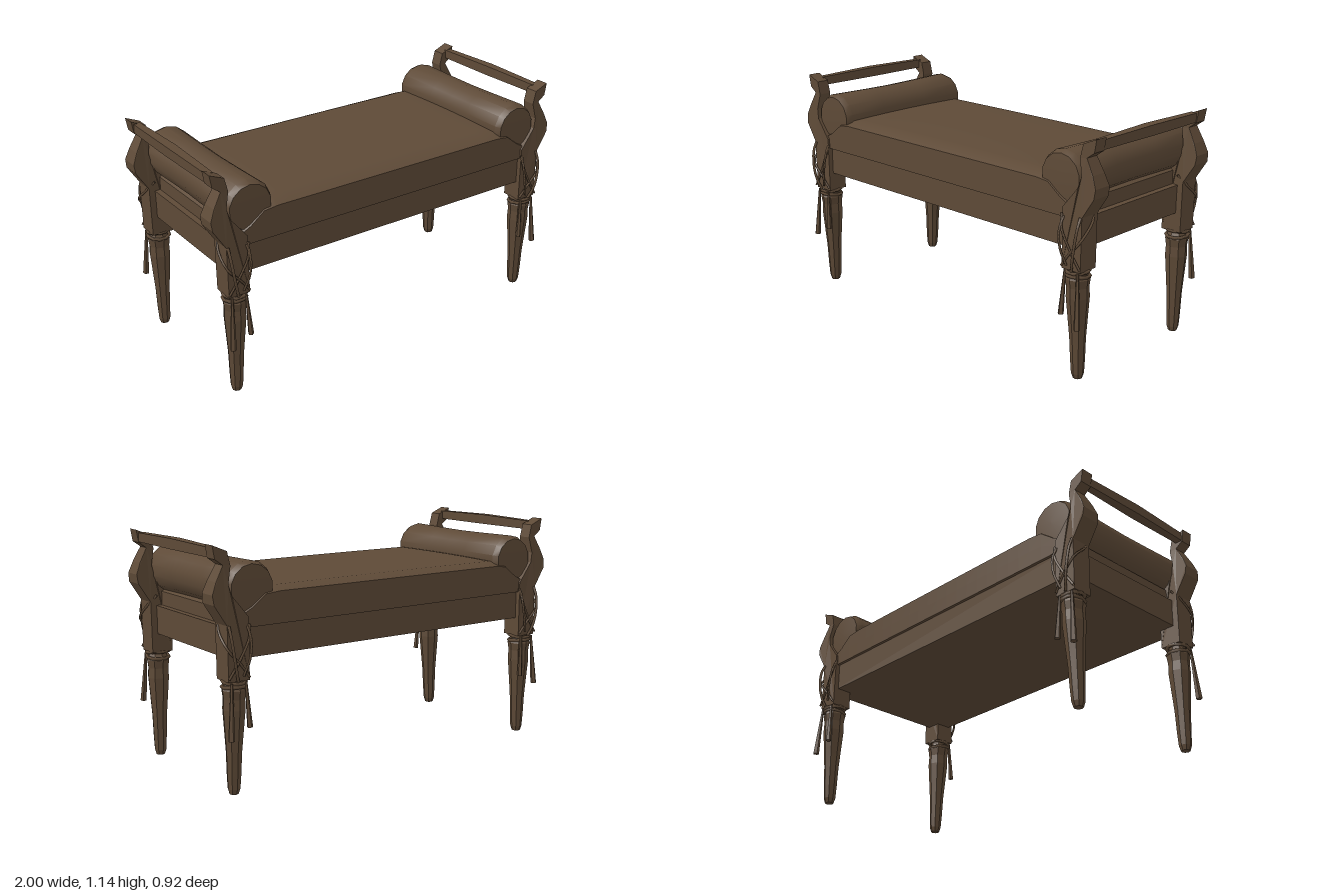
import * as THREE from 'three';
import { toCreasedNormals } from 'three/addons/utils/BufferGeometryUtils.js';

const wood = new THREE.MeshStandardMaterial({ color: 0x5e4a37 });
wood.name = 'dark brown';
wood.side = THREE.DoubleSide;

function add(parent, name, geometry, x = 0, y = 0, z = 0) {
  const mesh = new THREE.Mesh(geometry, wood);
  mesh.name = name;
  mesh.position.set(x, y, z);
  parent.add(mesh);
  return mesh;
}

// Move every vertex by a rule
function reshape(geometry, rule) {
  const p = geometry.attributes.position, v = new THREE.Vector3();
  for (let i = 0; i < p.count; i++) {
    rule(v.fromBufferAttribute(p, i));
    p.setXYZ(i, v.x, v.y, v.z);
  }
  return geometry;
}

const flat = (geometry) => toCreasedNormals(geometry, 0.05);
const points2 = (list) => list.map(([x, y]) => new THREE.Vector2(x, y));

// Crowned seat cushion that dips under the bolsters
function cushionGeometry() {
  const g = new THREE.BoxGeometry(1.74, 0.15, 0.83, 24, 2, 16);
  reshape(g, (v) => {
    const t = (v.y + 0.075) / 0.15;
    const w = Math.abs(v.z) / 0.415, u = Math.abs(v.x) / 0.87;
    const crown = w > 0.99 ? 0.918 : 0.938 + 0.014 * (1 - w * w) * (1 - u * u);
    const dip = 0.1 * THREE.MathUtils.smoothstep(u, 0.8, 1);
    v.y = 0.77 + t * (crown - dip - 0.77);
  });
  return toCreasedNormals(g, 0.6);
}

// Bolster with bevelled ends and a slight waist
function bolsterGeometry() {
  const g = new THREE.LatheGeometry(points2([
    [0, -0.412], [0.108, -0.405], [0.122, -0.375], [0.117, -0.15], [0.115, 0],
    [0.117, 0.15], [0.122, 0.375], [0.108, 0.405], [0, 0.412],
  ]), 14);
  g.rotateX(Math.PI / 2);
  return toCreasedNormals(g, 0.55);
}

// Square leg block sweeping up into the curved arm, thinner toward the top
function armGeometry() {
  const shape = new THREE.Shape(points2([
    [0.822, 0.535], [0.93, 0.535], [0.932, 0.79], [0.993, 0.885], [0.998, 0.93],
    [0.975, 0.985], [0.936, 1.055], [0.975, 1.083], [0.986, 1.145], [0.914, 1.115],
    [0.898, 1.05], [0.915, 0.97], [0.902, 0.92], [0.822, 0.82],
  ]));
  const g = new THREE.ExtrudeGeometry(shape, { depth: 2, bevelEnabled: false });
  reshape(g, (v) => {
    const half = 0.053 - 0.02 * THREE.MathUtils.smoothstep(v.y, 0.85, 1.07);
    v.z = 0.372 + (v.z - 1) * half;
  });
  return flat(g);
}

// Faceted tapering leg that leans slightly toward its foot
function legGeometry() {
  const g = new THREE.LatheGeometry(points2([
    [0, 0], [0.022, 0], [0.03, 0.025], [0.034, 0.09], [0.038, 0.2],
    [0.046, 0.3], [0.054, 0.4], [0.052, 0.45], [0.058, 0.49], [0.044, 0.52], [0.044, 0.55],
  ]), 8);
  reshape(g, (v) => {
    v.x += 0.882 - 0.012 * v.y;
    v.z += 0.368 + 0.014 * v.y;
  });
  return flat(g);
}

// Thin cord through a few points
function cordGeometry(list, radius = 0.006) {
  const curve = new THREE.CatmullRomCurve3(list.map((p) => new THREE.Vector3(...p)));
  return new THREE.TubeGeometry(curve, 14, radius, 5);
}

// Hanging end of a cord, flaring into a tassel
function tasselGeometry(height, width) {
  const g = new THREE.CylinderGeometry(0.006, width, height, 5);
  g.translate(0, -height / 2, 0);
  return flat(g);
}

function buildCorner() {
  const corner = new THREE.Group();
  add(corner, 'arm', armGeometry());
  add(corner, 'leg', legGeometry());

  // Cord wraps at the top of the leg
  [0.505, 0.53].forEach((y, i) => {
    const ring = new THREE.TorusGeometry(0.055, 0.009, 5, 10);
    ring.rotateX(Math.PI / 2 + (i ? 0.1 : -0.1));
    add(corner, 'cordWrap', ring, 0.876, y, 0.376);
  });

  // Cords crossing the block and bowing outward
  add(corner, 'crossingCord', cordGeometry([
    [0.90, 0.82, 0.318], [0.936, 0.77, 0.35], [0.938, 0.69, 0.432], [0.87, 0.61, 0.437], [0.825, 0.55, 0.43],
  ]));
  add(corner, 'crossingCord', cordGeometry([
    [0.82, 0.79, 0.425], [0.83, 0.73, 0.44], [0.88, 0.63, 0.437], [0.932, 0.55, 0.432],
  ]));
  add(corner, 'hangingLoop', cordGeometry([
    [0.925, 0.79, 0.425], [0.925, 0.74, 0.446], [0.915, 0.65, 0.455], [0.9, 0.58, 0.447], [0.885, 0.535, 0.432],
  ], 0.007));
  add(corner, 'hangingLoop', cordGeometry([
    [0.83, 0.78, 0.425], [0.825, 0.72, 0.448], [0.835, 0.64, 0.453], [0.86, 0.56, 0.438],
  ], 0.006));

  // Tassels
  const outer = add(corner, 'tassel', tasselGeometry(0.26, 0.016), 0.915, 0.53, 0.425);
  outer.rotation.set(-0.06, 0, 0.06);
  const inner = add(corner, 'tassel', tasselGeometry(0.21, 0.014), 0.842, 0.53, 0.425);
  inner.rotation.set(-0.05, 0, -0.05);
  return corner;
}

// Faceted hand rail, thickest in the middle
function railGeometry() {
  const g = new THREE.BoxGeometry(0.036, 0.044, 0.7, 1, 1, 4);
  reshape(g, (v) => {
    const k = 1 - Math.abs(v.z) / 0.35;
    v.x *= 1 + 0.35 * k;
    if (v.y > 0) v.y += 0.006 * k;
  });
  return flat(g);
}

export function createModel() {
  const bench = new THREE.Group();
  bench.name = 'bench';

  add(bench, 'seatFrame', new THREE.BoxGeometry(1.8, 0.14, 0.8), 0, 0.7, 0);
  add(bench, 'seatCushion', cushionGeometry());

  for (const sx of [1, -1]) {
    add(bench, 'bolster', bolsterGeometry(), sx * 0.79, 0.943, 0);
    add(bench, 'handRail', railGeometry(), sx * 0.956, 1.108, 0);
    for (const sz of [1, -1]) {
      const corner = buildCorner();
      corner.name = `${sz > 0 ? 'front' : 'back'}${sx > 0 ? 'Left' : 'Right'}Corner`;
      corner.scale.set(sx, 1, sz);
      bench.add(corner);
    }
  }
  return bench;
}
